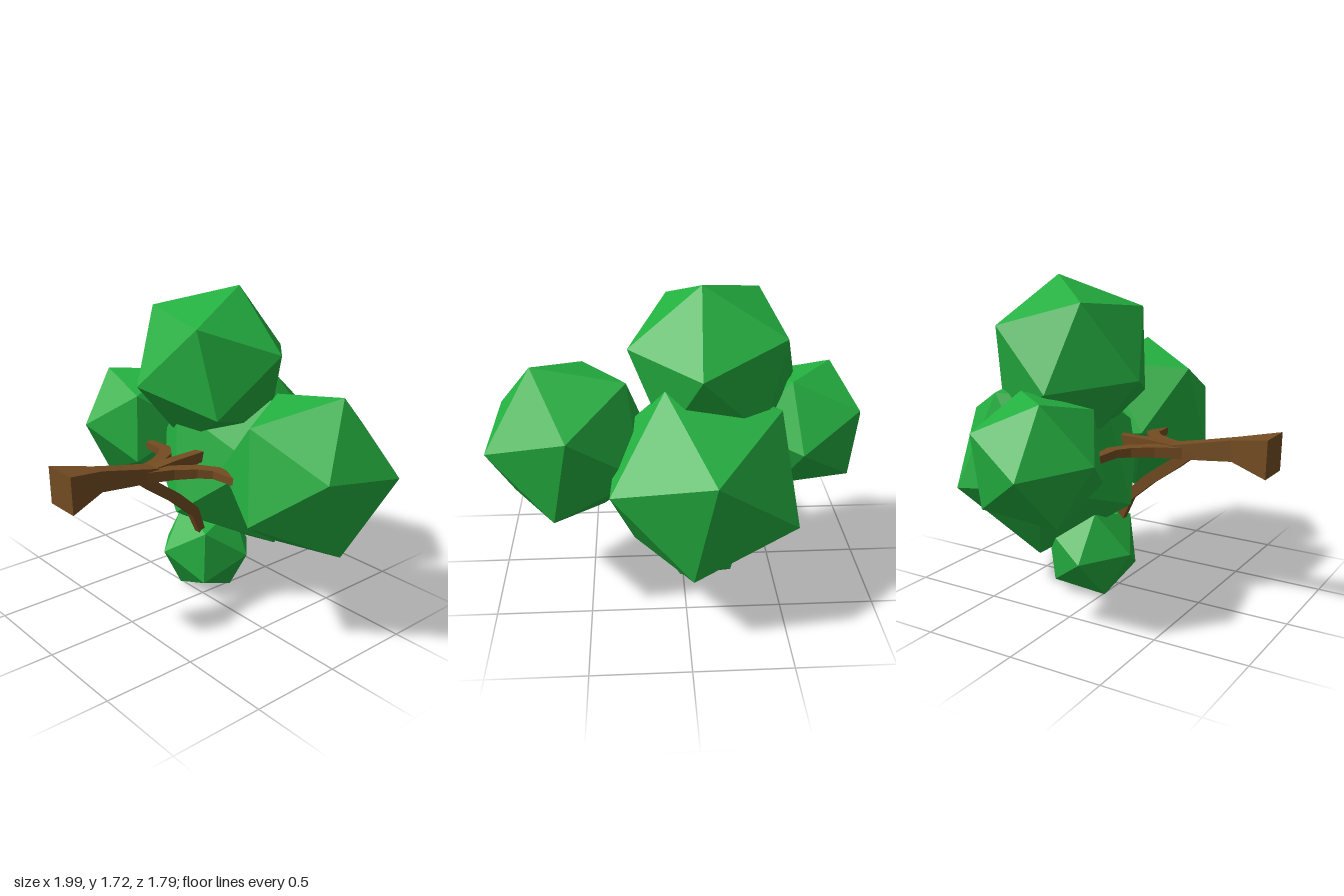
import * as THREE from 'three';

const bark = new THREE.MeshStandardMaterial({ color: 0x744c22 });
bark.name = 'barkBrown';
const leaf = new THREE.MeshStandardMaterial({ color: 0x24b040 });
leaf.name = 'leafGreen';

const vec = (a) => new THREE.Vector3(...a);

// Orthonormal basis from two directions
function basis(u, v) {
  const e1 = u.clone().normalize();
  const e3 = u.clone().cross(v).normalize();
  return new THREE.Matrix4().makeBasis(e1, e3.clone().cross(e1), e3);
}

// Icosahedron turned so that two neighbouring corners point along u and v
function leafBall(name, radius, centre, u, v) {
  const t = (1 + Math.sqrt(5)) / 2;
  const from = basis(vec([-1, t, 0]), vec([1, t, 0]));
  const turn = basis(vec(u), vec(v)).multiply(from.transpose());
  const mesh = new THREE.Mesh(new THREE.IcosahedronGeometry(radius, 0).applyMatrix4(turn), leaf);
  mesh.position.set(...centre);
  mesh.name = name;
  return mesh;
}

// Four-sided tapering limb; sections are [x, y, z, half size along axis, half size across]
function limb(name, axis, sections) {
  const a = vec(axis);
  const pts = sections.map((s) => vec(s.slice(0, 3)));
  const pos = [], idx = [];
  sections.forEach(([, , , ha, hb], i) => {
    const t = pts[Math.min(i + 1, pts.length - 1)].clone().sub(pts[Math.max(i - 1, 0)]).normalize();
    const b = t.cross(a).normalize();
    for (const [p, q] of [[1, 1], [-1, 1], [-1, -1], [1, -1]]) {
      const c = pts[i].clone().addScaledVector(a, p * ha).addScaledVector(b, q * hb);
      pos.push(c.x, c.y, c.z);
    }
  });
  const last = (sections.length - 1) * 4;
  for (let i = 0; i < last; i += 4) {
    for (let j = 0; j < 4; j++) {
      const k = (j + 1) % 4;
      idx.push(i + j, i + k, i + 4 + k, i + j, i + 4 + k, i + 4 + j);
    }
  }
  idx.push(0, 2, 1, 0, 3, 2, last, last + 1, last + 2, last, last + 2, last + 3);
  const indexed = new THREE.BufferGeometry();
  indexed.setAttribute('position', new THREE.Float32BufferAttribute(pos, 3));
  indexed.setIndex(idx);
  const geo = indexed.toNonIndexed();
  geo.computeVertexNormals();
  const mesh = new THREE.Mesh(geo, bark);
  mesh.name = name;
  return mesh;
}

export function createModel() {
  const tree = new THREE.Group();
  tree.name = 'tree';

  // Foliage
  tree.add(
    leafBall('leftFoliage', 0.46, [0.597, 0.875, -0.195], [0.17, 0.425, -0.055], [0.368, 0.11, 0.25]),
    leafBall('rightFoliage', 0.362, [-0.652, 0.88, -0.065], [-0.055, 0.025, 0.36], [-0.345, -0.02, 0.105]),
    leafBall('upperFoliage', 0.46, [-0.15, 1.292, -0.19], [0.07, 0.4325, -0.135], [0.085, 0.0625, -0.45]),
    leafBall('backFoliage', 0.552, [-0.1, 0.732, -0.385], [-0.02, 0.215, -0.51], [0.475, 0.045, -0.27]),
    leafBall('lowerFoliage', 0.275, [-0.097, 0.238, -0.11], [-0.053, 0.02, 0.27], [-0.2635, -0.01, 0.075]),
  );

  // Trunk lying along z, flared at its foot
  tree.add(limb('trunk', [1, 0, 0], [
    [0, 0.877, 0.89, 0.1, 0.1],
    [0, 0.882, 0.68, 0.045, 0.055],
    [0, 0.857, 0.52, 0.045, 0.046],
    [0, 0.832, 0.34, 0.052, 0.035],
  ]));

  // Straight branch
  tree.add(limb('middleBranch', [1, 0, 0], [
    [0, 0.832, 0.38, 0.035, 0.03],
    [0, 0.84, 0.2, 0.03, 0.035],
    [0, 0.852, 0.0, 0.025, 0.028],
  ]));

  // Mirrored side branches
  for (const [name, s] of [['leftBranch', 1], ['rightBranch', -1]]) {
    tree.add(limb(name, [0, 1, 0], [
      [s * 0.015, 0.832, 0.4, 0.03, 0.035],
      [s * 0.07, 0.832, 0.26, 0.028, 0.034],
      [s * 0.14, 0.832, 0.15, 0.025, 0.036],
      [s * 0.22, 0.832, 0.09, 0.022, 0.034],
      [s * 0.37, 0.83, 0.085, 0.02, 0.022],
    ]));
  }

  // Branch curving down
  tree.add(limb('lowerBranch', [1, 0, 0], [
    [0, 0.82, 0.43, 0.042, 0.025],
    [0, 0.755, 0.34, 0.036, 0.03],
    [0, 0.655, 0.2, 0.026, 0.03],
    [0, 0.54, 0.07, 0.023, 0.028],
    [0, 0.4, 0.015, 0.02, 0.02],
  ]));

  return tree;
}
